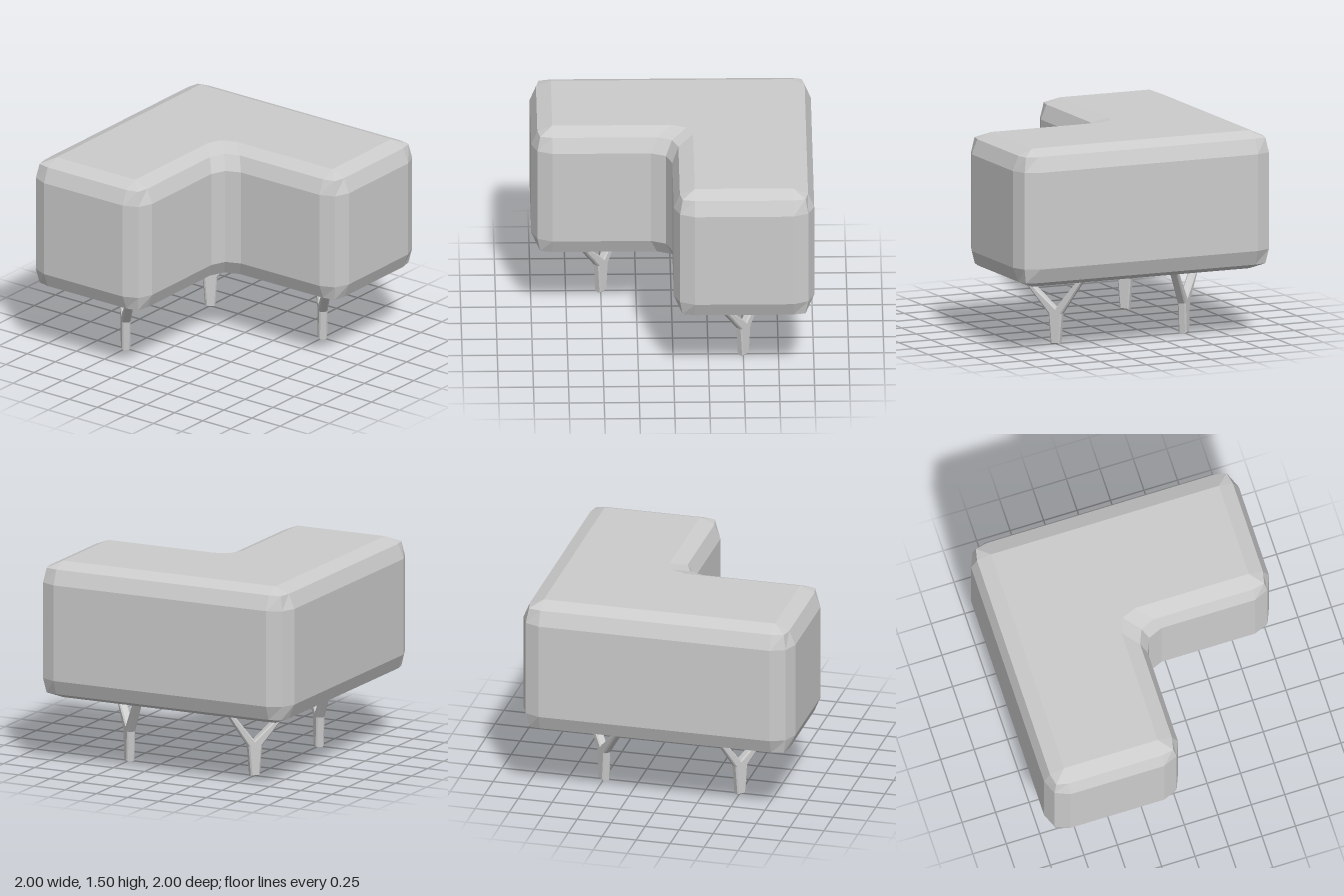
import * as THREE from 'three';

const R = 0.15; // bevel radius
const M = 0.044; // bevel midpoint inset

const material = () => new THREE.MeshStandardMaterial({ color: 0xcccccc, flatShading: true });

// L-shaped plan, walked clockwise as seen from above
const CORNERS = [[-1, -1], [1, -1], [1, 1], [0, 1], [0, 0], [-1, 0]].map(([x, z]) => new THREE.Vector2(x, z));

// Plan outline with rounded corners, inset by d; m is the inset of a convex corner's middle point
function outline(d, m) {
  const points = [];
  CORNERS.forEach((p, i) => {
    const a = p.clone().sub(CORNERS[(i + 5) % 6]).normalize();
    const b = CORNERS[(i + 1) % 6].clone().sub(p).normalize();
    const at = (s, t) => points.push(p.clone().addScaledVector(a, s).addScaledVector(b, t));
    if (a.cross(b) > 0) { // outer corner
      at(-R, d);
      at(-m, m);
      at(-d, R);
    } else { // inner corner
      at(-R + d, -d);
      at(-M + d, M - d);
      at(d, R - d);
    }
  });
  return points;
}

// Closed block made of stacked outlines, capped at both ends
function blockGeometry(levels) {
  const rings = levels.map(([y, d, m]) => outline(d, m).map((p) => new THREE.Vector3(p.x, y, p.y)));
  const pos = [];
  const normal = new THREE.Vector3();
  const edge = new THREE.Vector3();
  const tri = (a, b, c) => {
    normal.subVectors(b, a).cross(edge.subVectors(c, a));
    if (normal.length() > 1e-8) pos.push(...a, ...b, ...c);
  };
  for (let k = 0; k + 1 < rings.length; k++) {
    const lo = rings[k], hi = rings[k + 1], n = lo.length;
    for (let i = 0; i < n; i++) {
      const j = (i + 1) % n;
      tri(lo[i], hi[i], lo[j]);
      tri(lo[j], hi[i], hi[j]);
    }
  }
  for (const [ring, up] of [[rings[0], -1], [rings.at(-1), 1]]) {
    const rim = ring.filter((p, i) => p.distanceTo(ring[(i + 1) % ring.length]) > 1e-5);
    const flat = rim.map((p) => new THREE.Vector2(p.x, p.z));
    for (const [i, j, k] of THREE.ShapeUtils.triangulateShape(flat, [])) {
      const facing = -flat[j].clone().sub(flat[i]).cross(flat[k].clone().sub(flat[i]));
      if (facing * up > 0) tri(rim[i], rim[j], rim[k]);
      else tri(rim[i], rim[k], rim[j]);
    }
  }
  const g = new THREE.BufferGeometry();
  g.setAttribute('position', new THREE.Float32BufferAttribute(pos, 3));
  g.computeVertexNormals();
  return g;
}

// Forked leg: tapered foot, one straight branch and one with an upright end
function legGeometry() {
  const shape = new THREE.Shape([
    [-0.033, 0], [0.033, 0], [0.05, 0.22], [0.241, 0.515], [0.205, 0.515],
    [0.005, 0.262], [-0.175, 0.425], [-0.175, 0.515], [-0.212, 0.515], [-0.212, 0.415], [-0.05, 0.22],
  ].map(([u, y]) => new THREE.Vector2(u, y)));
  const bevel = 0.01, depth = 0.042;
  return new THREE.ExtrudeGeometry(shape, {
    depth, bevelEnabled: true, bevelSegments: 1, bevelSize: bevel, bevelOffset: -bevel, bevelThickness: bevel,
  }).translate(0, 0, -depth / 2);
}

export function createModel() {
  const model = new THREE.Group();

  // Body: L-shaped bevelled block
  const body = new THREE.Mesh(blockGeometry([
    [0.5, R, R], [0.5 + M, M, 0.063], [0.5 + R, 0, M],
    [1.5 - R, 0, M], [1.5 - M, M, 0.063], [1.5, R, R],
  ]), material());
  body.name = 'body';
  model.add(body);

  // One leg under each square of the L, set diagonally
  const legs = [
    ['backRightLeg', -0.5, -0.5, Math.PI / 4],
    ['cornerLeg', 0.5, -0.5, -Math.PI / 4],
    ['frontLeftLeg', 0.5, 0.5, Math.PI / 4],
  ];
  const geometry = legGeometry();
  for (const [name, x, z, turn] of legs) {
    const leg = new THREE.Mesh(geometry, material());
    leg.name = name;
    leg.position.set(x, 0, z);
    leg.rotation.y = turn;
    model.add(leg);
  }
  return model;
}
